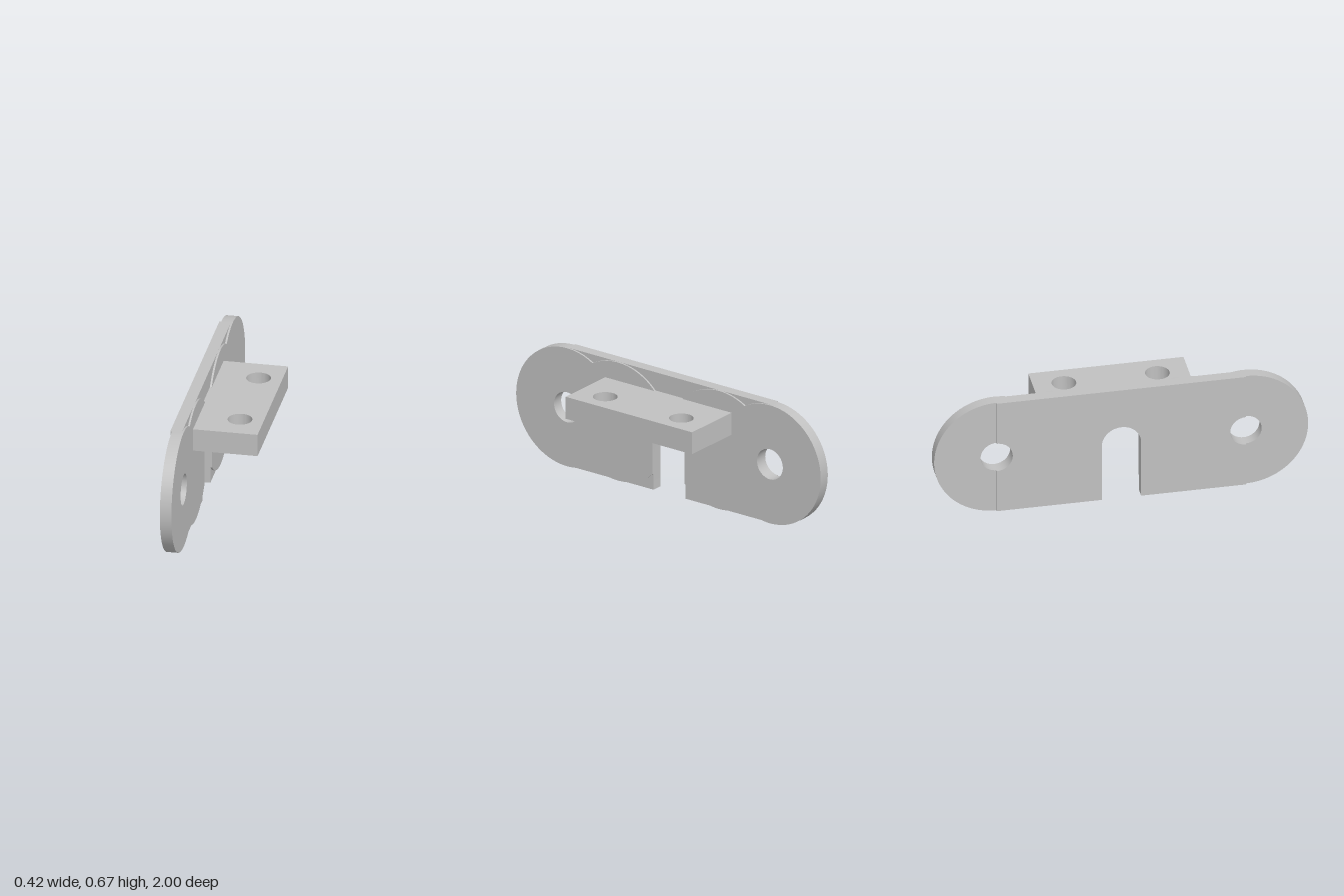
import * as THREE from 'three';
import { toCreasedNormals } from 'three/addons/utils/BufferGeometryUtils.js';

const R = 0.3335;      // lobe radius, also mid height of the plate
const OUT = 0.6665;    // z of outer lobes and bolt holes
const MID = 0.333;     // z of inner lobes
const HOLE = 0.085;    // bolt hole radius
const SLOT = 0.105;    // half width of the slot

// Points along an arc from angle a to angle b
function arc(cx, cy, r, a, b, n = 32) {
  return Array.from({ length: n + 1 }, (_, i) => {
    const t = a + (b - a) * i / n;
    return new THREE.Vector2(cx + r * Math.cos(t), cy + r * Math.sin(t));
  });
}

// Extrude a (z, y) outline between two x positions
function plate(shape, x0, x1) {
  const g = new THREE.ExtrudeGeometry(shape, { depth: x1 - x0, bevelEnabled: false, curveSegments: 32 });
  g.rotateY(-Math.PI / 2).translate(x1, 0, 0);
  return toCreasedNormals(g, 0.5);
}

function circleHole(x, y, r) {
  return new THREE.Path(arc(x, y, r, 0, Math.PI * 2, 48).slice(0, -1));
}

// Double-lobed face on one side of the slot; s = 1 or -1 picks the end
function lobeShape(s) {
  const slotZ = SLOT * SLOT / (2 * MID);                    // where slot arc meets inner lobe
  const top = Math.acos((slotZ - MID) / R);
  const low = Math.acos((SLOT - MID) / R);
  const cusp = Math.acos((OUT - MID) / 2 / R);
  const pts = [
    ...arc(0, R, SLOT, 0, Math.acos(slotZ / SLOT), 16),     // slot rounding
    ...arc(MID, R, R, top, cusp),                           // inner lobe, upper
    ...arc(OUT, R, R, Math.PI - cusp, cusp - Math.PI, 72),  // outer lobe
    ...arc(MID, R, R, -cusp, -low),                         // inner lobe, lower
  ].map((p) => new THREE.Vector2(p.x * s, p.y));
  const shape = new THREE.Shape(pts);
  shape.holes.push(circleHole(OUT * s, R, HOLE));
  return shape;
}

export function createModel() {
  const group = new THREE.Group();
  const grey = new THREE.MeshStandardMaterial({ color: 0xc0c0c0 });
  grey.name = 'plain grey';
  const add = (name, geometry) => {
    const mesh = new THREE.Mesh(geometry, grey);
    mesh.name = name;
    group.add(mesh);
  };

  // Rectangular back plate with the slot and half of each bolt hole
  const H = Math.PI / 2, V = (x, y) => new THREE.Vector2(x, y);
  const back = new THREE.Shape([
    V(-OUT, 0), V(-SLOT, 0),
    ...arc(0, R, SLOT, Math.PI, 0),
    V(SLOT, 0), V(OUT, 0),
    ...arc(OUT, R, HOLE, 3 * H, H, 24),
    V(OUT, 2 * R), V(-OUT, 2 * R),
    ...arc(-OUT, R, HOLE, H, -H, 24),
  ]);
  add('backPlate', plate(back, -0.209, -0.147));

  // Lobed faces, standing slightly proud of the back plate
  add('frontLobes', plate(lobeShape(1), -0.199, -0.137));
  add('rearLobes', plate(lobeShape(-1), -0.199, -0.137));

  // Shelf with two vertical holes
  const shelf = new THREE.Shape([V(-0.17, -0.415), V(0.208, -0.415), V(0.208, 0.415), V(-0.17, 0.415)]);
  for (const z of [-0.25, 0.25]) shelf.holes.push(circleHole(0.082, z, 0.065));
  const shelfGeo = new THREE.ExtrudeGeometry(shelf, { depth: 0.124, bevelEnabled: false });
  shelfGeo.rotateX(-H).translate(0, 0.44, 0);
  add('shelf', toCreasedNormals(shelfGeo, 0.5));

  return group;
}
